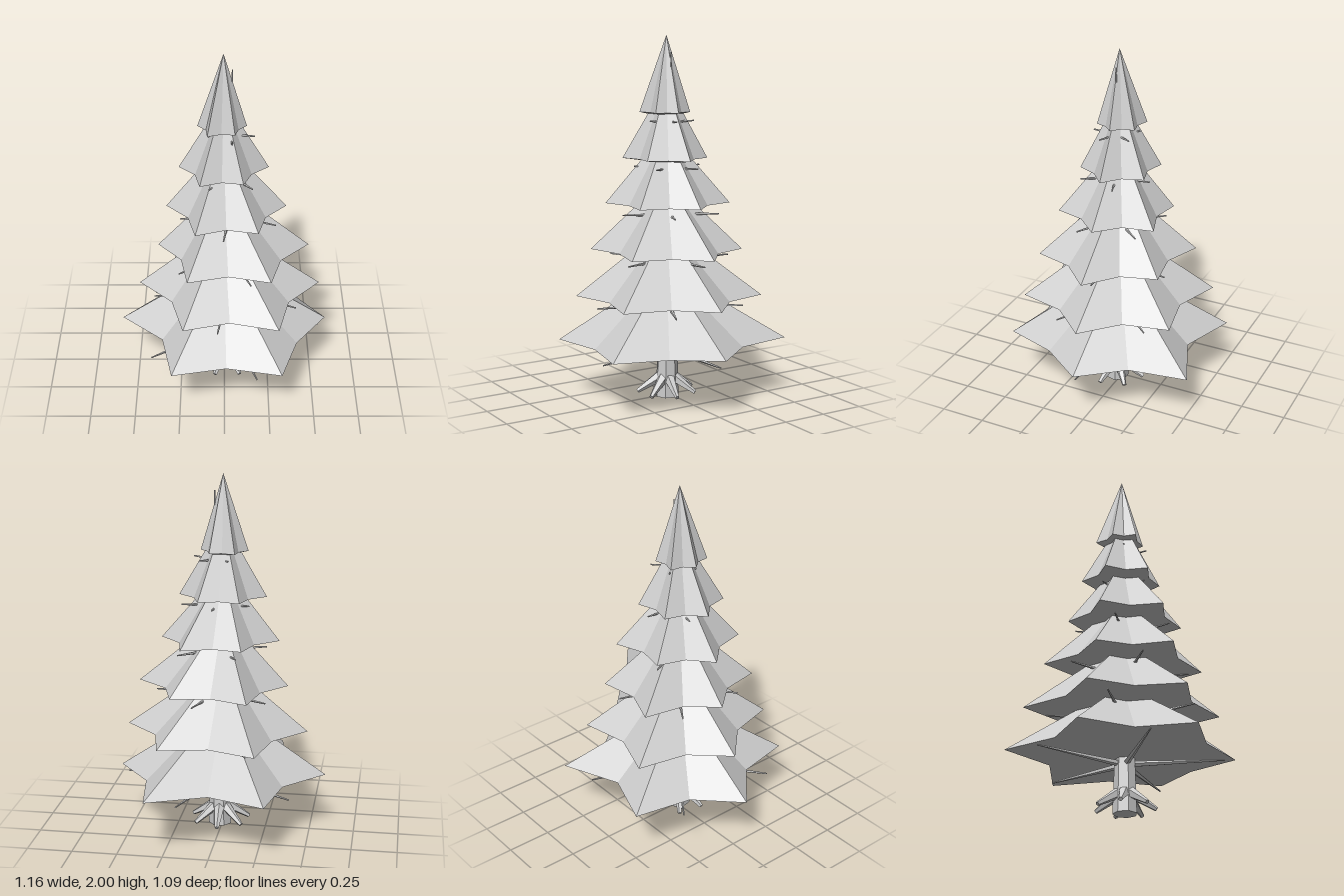
import * as THREE from 'three';

const grey = new THREE.MeshStandardMaterial({ color: 0xcccccc, flatShading: true });
grey.name = 'plainGrey';

const CENTRE = [-0.005, 0.015]; // x, z of the foliage axis

// Tapered faceted limb running from one point to another
function limb(name, from, to, r0, r1, sides) {
  const a = new THREE.Vector3(...from), b = new THREE.Vector3(...to);
  const dir = b.clone().sub(a);
  const mesh = new THREE.Mesh(new THREE.CylinderGeometry(r1, r0, dir.length(), sides), grey);
  mesh.position.copy(a).add(b).multiplyScalar(0.5);
  mesh.quaternion.setFromUnitVectors(new THREE.Vector3(0, 1, 0), dir.normalize());
  mesh.name = name;
  return mesh;
}

// Six-pointed star cone with a slightly bulging underside
function foliageTier(tips, y, apexY, notch) {
  const ring = [];
  tips.forEach(([x, z], i) => {
    const [nx, nz] = tips[(i + 1) % tips.length];
    const k = notch[i];
    ring.push([x, y, z]);
    ring.push([
      CENTRE[0] + ((x + nx) / 2 - CENTRE[0]) * k, y,
      CENTRE[1] + ((z + nz) / 2 - CENTRE[1]) * k,
    ]);
  });
  const apex = [CENTRE[0], apexY, CENTRE[1]];
  const base = [CENTRE[0], y - 0.03, CENTRE[1]];
  const pos = [];
  ring.forEach((a, i) => {
    const b = ring[(i + 1) % ring.length];
    pos.push(...apex, ...b, ...a, ...base, ...a, ...b);
  });
  const geo = new THREE.BufferGeometry();
  geo.setAttribute('position', new THREE.Float32BufferAttribute(pos, 3));
  geo.computeVertexNormals();
  const mesh = new THREE.Mesh(geo, grey);
  mesh.name = 'foliageTier';
  return mesh;
}

export function createModel() {
  const tree = new THREE.Group();
  tree.name = 'pineTree';

  // Trunk, leaning slightly and poking out near the top
  const trunkAt = (y) => [0.012 + 0.015 * y, y, 0.024 - 0.005 * y];
  tree.add(limb('trunk', trunkAt(0), trunkAt(1.91), 0.066, 0.003, 7));

  // Roots splayed around the foot
  const roots = new THREE.Group();
  roots.name = 'roots';
  for (let i = 0; i < 7; i++) {
    const t = (i / 7) * Math.PI * 2 + 0.2;
    const c = Math.cos(t), s = Math.sin(t);
    roots.add(limb('root',
      [0.012 + c * 0.03, 0.115, 0.024 + s * 0.03],
      [0.012 + c * 0.165, 0.03, 0.024 + s * 0.165], 0.032, 0.012, 5));
  }
  tree.add(roots);

  // Star tiers: y, apex height, then tips clockwise from +x toward +z
  const tiers = [
    [0.325, 0.72, [[0.58, 0.015], [0.315, 0.54], [-0.29, 0.54], [-0.585, 0.015], [-0.3, -0.53], [0.34, -0.55]]],
    [0.575, 0.97, [[0.537, 0.015], [0.295, 0.465], [-0.225, 0.465], [-0.48, 0.015], [-0.24, -0.46], [0.29, -0.42]]],
    [0.835, 1.23, [[0.468, 0.015], [0.25, 0.385], [-0.2, 0.385], [-0.368, 0.015], [-0.185, -0.37], [0.235, -0.325]]],
    [1.09, 1.49, [[0.338, 0.015], [0.18, 0.295], [-0.155, 0.315], [-0.317, 0.015], [-0.14, -0.25], [0.185, -0.275]]],
    [1.335, 1.75, [[0.238, 0.015], [0.1, 0.2], [-0.13, 0.22], [-0.245, 0.015], [-0.12, -0.18], [0.105, -0.18]]],
    [1.585, 2.0, [[0.118, 0.015], [0.055, 0.12], [-0.09, 0.135], [-0.143, 0.015], [-0.085, -0.11], [0.055, -0.1]]],
  ];
  const lowNotch = [0.91, 0.885, 0.8, 0.825, 0.78, 0.85];
  const notch = [0.86, 0.85, 0.83, 0.83, 0.84, 0.84];
  const foliage = new THREE.Group();
  foliage.name = 'foliage';
  tiers.forEach(([y, top, tips], i) => foliage.add(foliageTier(tips, y, top, i ? notch : lowNotch)));
  tree.add(foliage);

  // Bare branches under each tier: y, reach, first angle in degrees
  const whorls = [
    [0.28, 0.525, 0], [0.532, 0.42, 26], [0.784, 0.345, 70],
    [1.036, 0.275, 25], [1.288, 0.195, 53], [1.54, 0.13, 16],
  ];
  const branches = new THREE.Group();
  branches.name = 'branches';
  whorls.forEach(([y, reach, start], n) => {
    const [cx, , cz] = trunkAt(y);
    for (let i = 0; i < 5; i++) {
      const t = THREE.MathUtils.degToRad(start + i * 72);
      branches.add(limb('branch', [cx, y - 0.008, cz],
        [cx + Math.cos(t) * reach, y + 0.003, cz + Math.sin(t) * reach],
        0.018 - n * 0.002, 0.004, 5));
    }
  });
  tree.add(branches);

  return tree;
}
